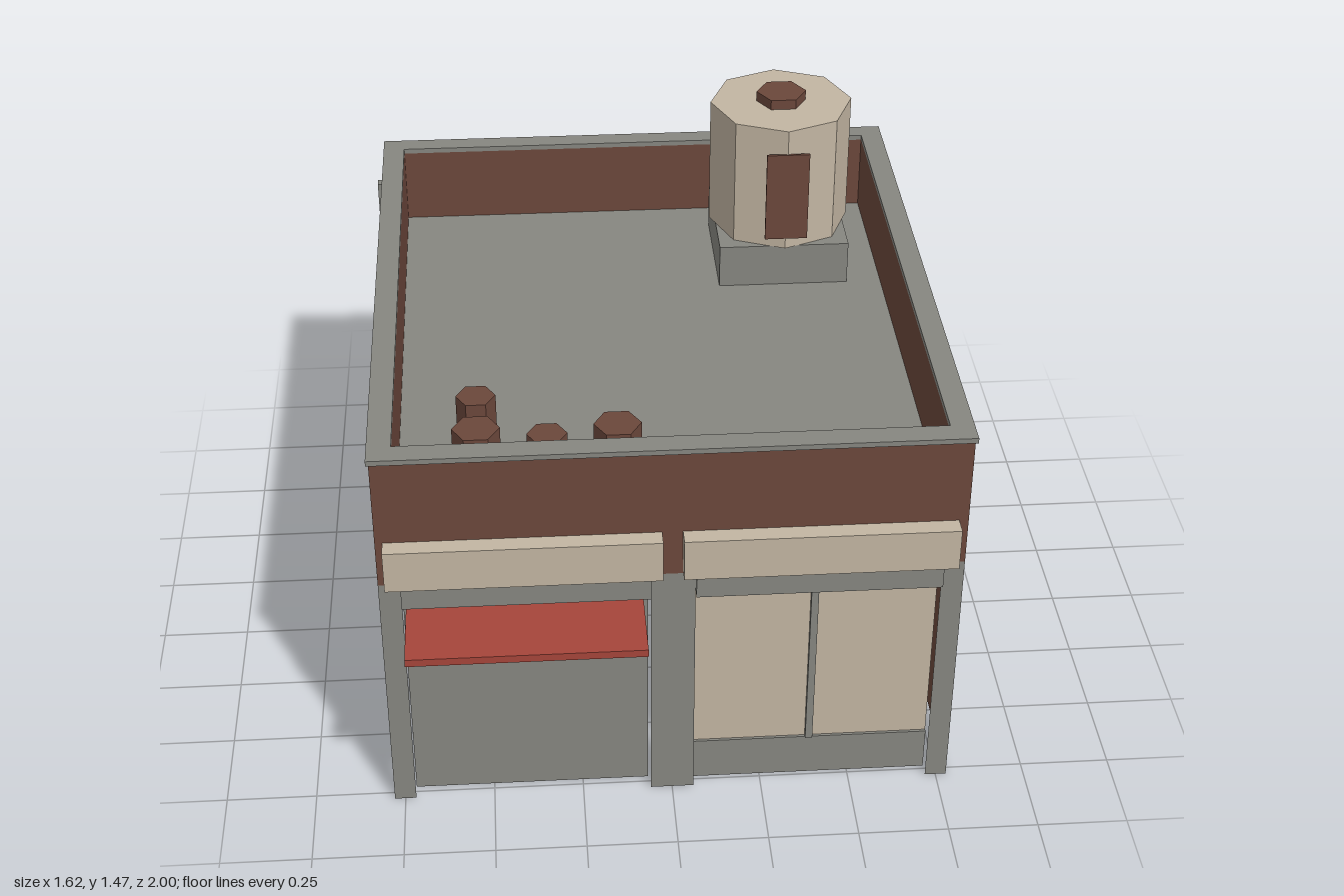
import * as THREE from 'three';

const mat = (name, color, side = THREE.FrontSide) => {
  const m = new THREE.MeshStandardMaterial({ color, side });
  m.name = name;
  return m;
};

export function createModel() {
  const brown = mat('brick brown', 0x6b473b, THREE.DoubleSide);
  const grey = mat('concrete grey', 0x868680, THREE.DoubleSide);
  const cream = mat('cream', 0xc2b5a2);
  const red = mat('awning red', 0xa5453a);

  const model = new THREE.Group();
  model.name = 'shopBuilding';

  const add = (name, geometry, material) => {
    const mesh = new THREE.Mesh(geometry, material);
    mesh.name = name;
    model.add(mesh);
    return mesh;
  };
  // box given by its extents on each axis
  const box = (name, material, [x0, x1], [y0, y1], [z0, z1]) =>
    add(name, new THREE.BoxGeometry(x1 - x0, y1 - y0, z1 - z0)
      .translate((x0 + x1) / 2, (y0 + y1) / 2, (z0 + z1) / 2), material);
  // upright sheet facing the front
  const sheet = (name, material, [x0, x1], [y0, y1], z) =>
    add(name, new THREE.PlaneGeometry(x1 - x0, y1 - y0)
      .translate((x0 + x1) / 2, (y0 + y1) / 2, z), material);
  // upright prism with a corner or a side turned forward
  const prism = (name, material, r, sides, turn, x, z, y0, y1) =>
    add(name, new THREE.CylinderGeometry(r, r, y1 - y0, sides).toNonIndexed()
      .rotateY(turn).translate(x, (y0 + y1) / 2, z), material).geometry.computeVertexNormals();

  const W = 0.78, BACK = -0.99, FRONT = 0.775, ROOF = 0.91, TOP = 1.14;
  const midZ = (BACK + FRONT) / 2, depth = FRONT - BACK;

  // side walls and drain pipes
  for (const s of [-1, 1]) {
    add(s > 0 ? 'leftWall' : 'rightWall',
      new THREE.PlaneGeometry(depth, TOP).rotateY(s * Math.PI / 2)
        .translate(s * W, TOP / 2, midZ), brown);
    const xs = s > 0 ? [W, 0.81] : [-0.81, -W];
    box('drainPipe', grey, xs, [0, 1.06], [-0.92, -0.89]);
  }

  // back wall with a square window opening
  const rect = (path, x0, x1, y0, y1) =>
    path.moveTo(x0, y0).lineTo(x1, y0).lineTo(x1, y1).lineTo(x0, y1).lineTo(x0, y0);
  const wall = rect(new THREE.Shape(), -W, W, 0, TOP);
  wall.holes.push(rect(new THREE.Path(), -0.13, 0.13, 0.26, 0.52));
  add('backWall', new THREE.ShapeGeometry(wall).rotateY(Math.PI).translate(0, 0, BACK), brown);

  // recessed window: pane and reveals
  const recess = [BACK, BACK + 0.04];
  box('windowPane', grey, [-0.13, 0.13], [0.26, 0.52], [BACK + 0.04, BACK + 0.045]);
  for (const s of [-1, 1]) {
    const x = s * 0.1325, y = 0.39 + s * 0.1325;
    box('windowJamb', grey, [x - 0.0025, x + 0.0025], [0.26, 0.52], recess);
    box('windowReveal', grey, [-0.13, 0.13], [y - 0.0025, y + 0.0025], recess);
  }

  // front: upper wall and columns
  sheet('frontUpperWall', brown, [-W, W], [0.755, TOP], FRONT);
  for (const xs of [[-W, -0.72], [-0.06, 0.06], [0.72, W]])
    sheet('frontColumn', grey, xs, [0, 0.755], FRONT);

  // lintels and sign boards
  for (const [a, b] of [[-0.72, -0.06], [0.06, 0.72]])
    box('lintel', grey, [a, b], [0.695, 0.755], [0.73, 0.805]);
  for (const [a, b] of [[-0.76, -0.03], [0.025, 0.755]])
    box('signBoard', cream, [a, b], [0.77, 0.893], [FRONT, 0.825]);

  // shutter and awning
  box('shutter', grey, [-0.72, -0.065], [0, 0.695], [0.725, 0.73]);
  box('awning', red, [-0.71, -0.08], [0.66, 0.682], [0.73, 1]);

  // shop window with plinth and mullion
  box('shopWindow', cream, [0.06, 0.72], [0, 0.695], [0.725, 0.73]);
  box('shopPlinth', grey, [0.06, 0.72], [0, 0.13], [0.73, 0.738]);
  box('mullion', grey, [0.377, 0.397], [0.13, 0.695], [0.73, 0.745]);

  // roof slab
  box('roof', grey, [-W + 0.002, W - 0.002], [ROOF - 0.005, ROOF + 0.002],
    [BACK + 0.002, FRONT - 0.002]);

  // inner parapet faces
  for (const s of [-1, 1]) {
    add('parapetSide', new THREE.PlaneGeometry(1.655, TOP - ROOF).rotateY(Math.PI / 2)
      .translate(s * 0.723, (TOP + ROOF) / 2, -0.1125), brown);
    sheet('parapetEnd', brown, [-0.723, 0.723], [ROOF, TOP], -0.1125 + s * 0.8275);
  }

  // coping ring on the parapet
  const ring = rect(new THREE.Shape(), -0.787, 0.787, -0.78, 1);
  ring.holes.push(rect(new THREE.Path(), -0.723, 0.723, -0.715, 0.94));
  add('coping', new THREE.ExtrudeGeometry(ring, { depth: 0.015, bevelEnabled: false })
    .rotateX(-Math.PI / 2).translate(0, TOP, 0), grey);

  // water tank on its base
  const tx = 0.425, tz = -0.64;
  box('tankBase', grey, [tx - 0.195, tx + 0.195], [ROOF, 1.045], [tz - 0.195, tz + 0.195]);
  prism('waterTank', cream, 0.212, 8, 0, tx, tz, 1.045, 1.435);
  prism('tankCap', brown, 0.074, 6, Math.PI / 6, tx, tz, 1.435, 1.465);
  box('tankHatch', brown, [0.363, 0.49], [1.08, 1.36], [-0.433, -0.425]);

  // roof vents
  for (const [x, z, r, top] of [
    [-0.51, 0.3, 0.055, 1.03], [-0.51, 0.49, 0.065, 1.05],
    [-0.32, 0.49, 0.055, 1.025], [-0.13, 0.49, 0.065, 1.05],
  ]) prism('roofVent', brown, r, 6, Math.PI / 6, x, z, ROOF, top);

  return model;
}
